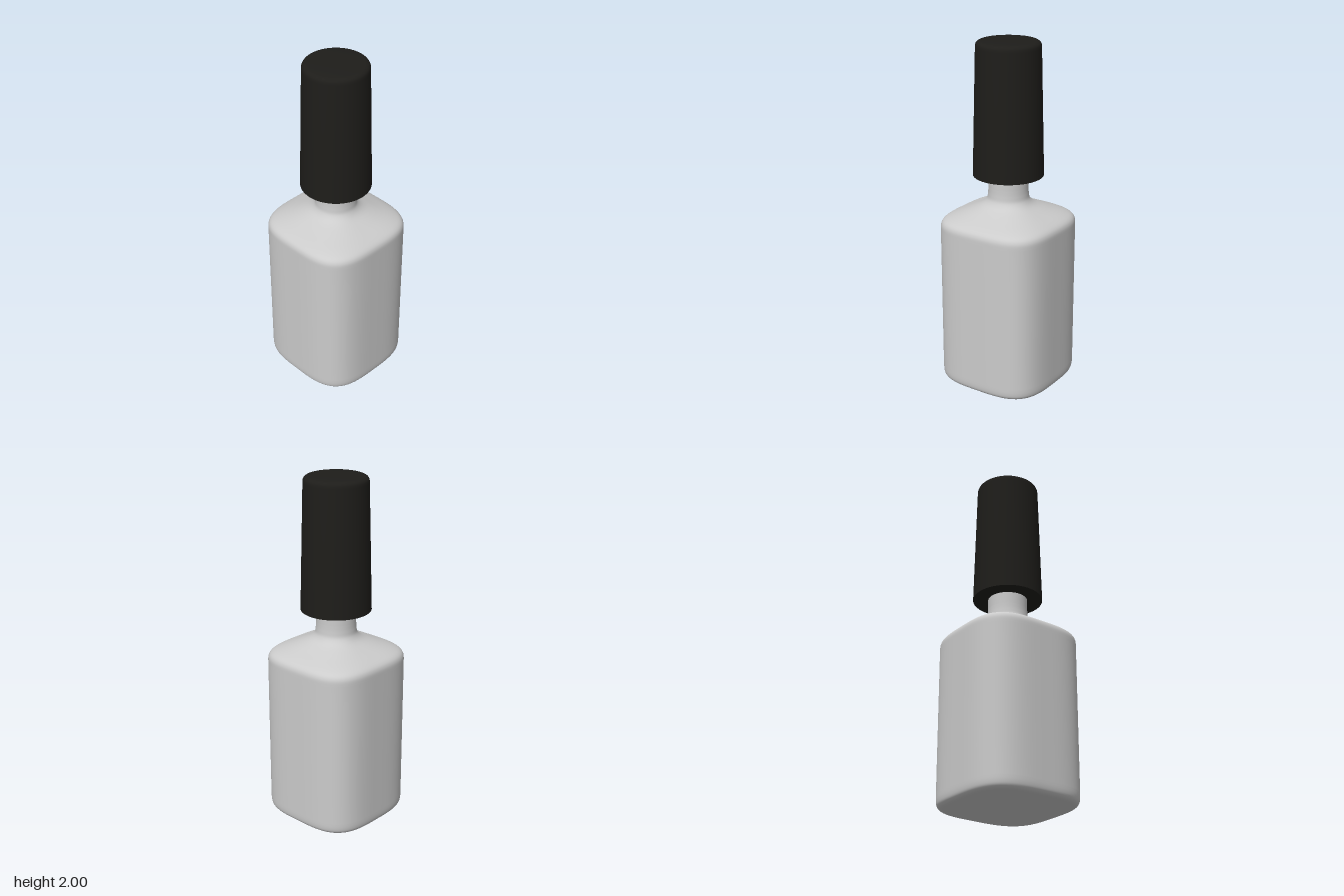
import * as THREE from 'three';
import { mergeVertices, toCreasedNormals } from 'three/addons/utils/BufferGeometryUtils.js';

const v2 = ([x, y]) => new THREE.Vector2(x, y);

// Rounded-square body blending up through the shoulder into a round neck
function bottleGeometry() {
  const shoulder = new THREE.SplineCurve([
    [0.336, 0.93], [0.334, 0.965], [0.32, 0.99], [0.285, 1.011], [0.21, 1.043],
    [0.15, 1.073], [0.122, 1.105], [0.115, 1.14], [0.113, 1.18],
  ].map(v2)).getPoints(48);
  const base = [[0, 0.003], [0.15, 0.003], [0.28, 0.004]].map(v2);
  const edge = new THREE.SplineCurve([
    [0.295, 0.005], [0.316, 0.011], [0.33, 0.026], [0.335, 0.05], [0.336, 0.08],
  ].map(v2)).getPoints(16);
  const wall = [0.25, 0.5, 0.75].map((y) => v2([0.336, y]));
  const neck = [[0.113, 1.22], [0.113, 1.27]].map(v2);

  let geo = new THREE.LatheGeometry([...base, ...edge, ...wall, ...shoulder, ...neck], 96);
  const p = geo.attributes.position;
  for (let i = 0; i < p.count; i++) {
    const x = p.getX(i), y = p.getY(i), z = p.getZ(i);
    const n = 3.4 - 1.4 * THREE.MathUtils.smoothstep(y, 0.99, 1.11);
    const a = Math.atan2(z, x);
    const k = (Math.abs(Math.cos(a)) ** n + Math.abs(Math.sin(a)) ** n) ** (-1 / n);
    p.setXYZ(i, x * k, y, z * k);
  }
  // Weld the seam so shading runs smoothly all the way round
  geo.deleteAttribute('normal');
  geo.deleteAttribute('uv');
  geo = mergeVertices(geo, 1e-5);
  geo.computeVertexNormals();
  return geo;
}

// Tapered cap with a sharp lower rim and a small rounded top edge
function capGeometry() {
  const profile = [[0, 1.245], [0.2, 1.245], [0.181, 1.965]].map(v2);
  for (let i = 1; i <= 6; i++) {
    const a = (i / 6) * Math.PI / 2;
    profile.push(v2([0.153 + 0.028 * Math.cos(a), 1.972 + 0.028 * Math.sin(a)]));
  }
  profile.push(v2([0, 2]));
  return toCreasedNormals(new THREE.LatheGeometry(profile, 64), Math.PI / 5);
}

export function createModel() {
  const group = new THREE.Group();
  group.name = 'polishBottle';

  const bottle = new THREE.Mesh(bottleGeometry(), new THREE.MeshStandardMaterial({ color: 0xcccccc }));
  bottle.name = 'bottle';

  const cap = new THREE.Mesh(capGeometry(), new THREE.MeshStandardMaterial({ color: 0x1e1d1a }));
  cap.name = 'cap';

  group.add(bottle, cap);
  return group;
}
